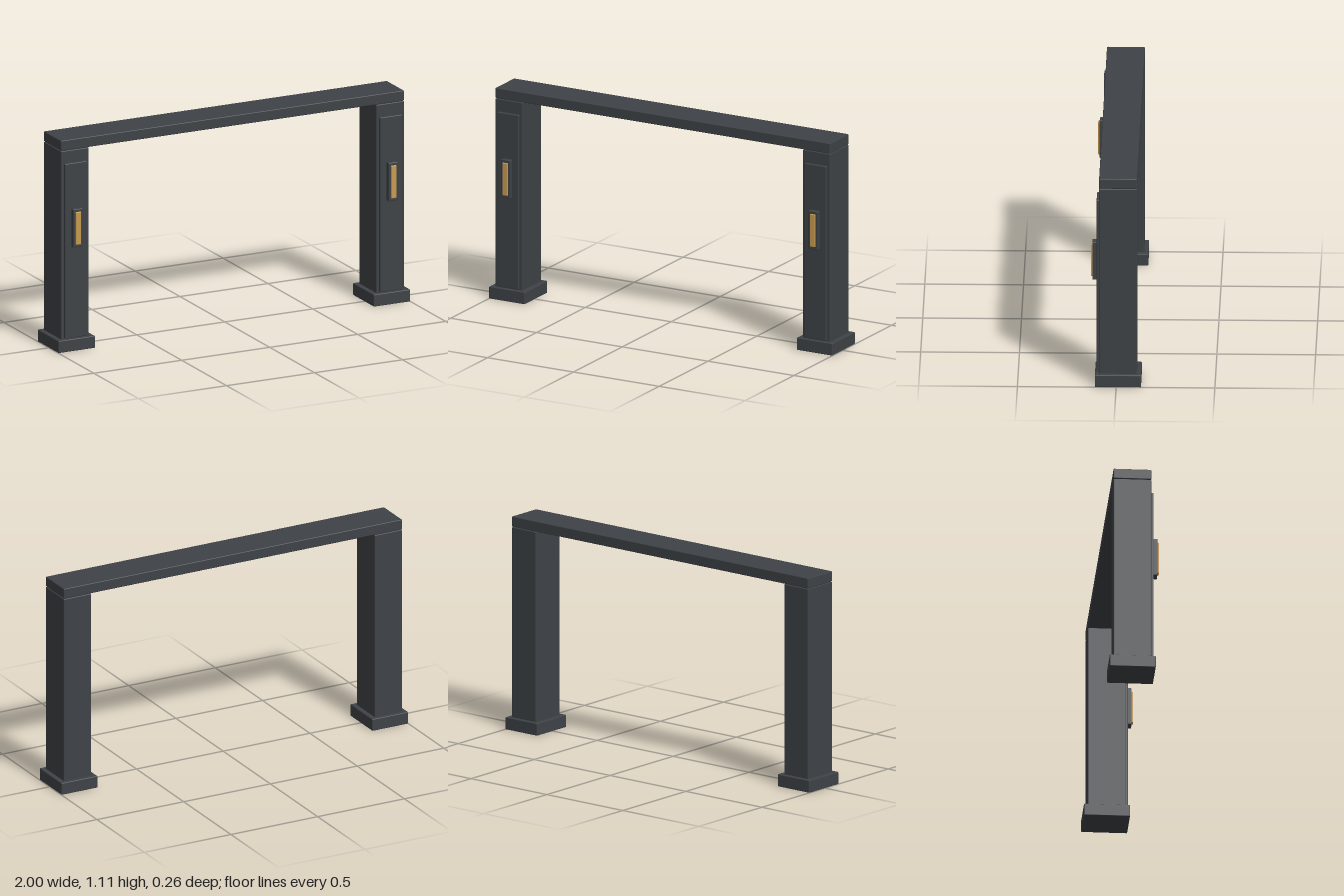
import * as THREE from 'three';
import { RoundedBoxGeometry } from 'three/addons/geometries/RoundedBoxGeometry.js';

const metal = new THREE.MeshStandardMaterial({ color: 0x3e4246 });
metal.name = 'dark metal';
const amber = new THREE.MeshStandardMaterial({ color: 0xc89b50 });
amber.name = 'amber light';

// Softly edged box given by its extents on each axis
function block(name, material, [x0, x1], [y0, y1], [z0, z1], radius = 0.004) {
  const geometry = new RoundedBoxGeometry(x1 - x0, y1 - y0, z1 - z0, 2, radius);
  const mesh = new THREE.Mesh(geometry, material);
  mesh.name = name;
  mesh.position.set((x0 + x1) / 2, (y0 + y1) / 2, (z0 + z1) / 2);
  return mesh;
}

// One pillar, centred on its own x = 0
function createPillar(name) {
  const pillar = new THREE.Group();
  pillar.name = name;
  const span = (half) => [-half, half];
  pillar.add(
    block('foot', metal, span(0.104), [0, 0.064], [-0.126, 0.108]),
    block('post', metal, span(0.079), [0.06, 1.058], [-0.105, 0.087]),
    block('frontPanel', metal, span(0.063), [0.068, 0.992], [0.075, 0.1]),
    block('lampHousing', metal, span(0.027), [0.55, 0.753], [0.09, 0.122]),
    block('lampStrip', amber, span(0.015), [0.566, 0.738], [0.115, 0.13], 0.003)
  );
  return pillar;
}

export function createModel() {
  const model = new THREE.Group();
  model.name = 'gateway';

  // Pillars on both sides
  for (const side of [-1, 1]) {
    const pillar = createPillar(side > 0 ? 'leftPillar' : 'rightPillar');
    pillar.position.x = side * 0.896;
    model.add(pillar);
  }

  // Beam across the top
  model.add(block('topBeam', metal, [-0.975, 0.975], [1.06, 1.114], [-0.105, 0.087]));
  return model;
}
